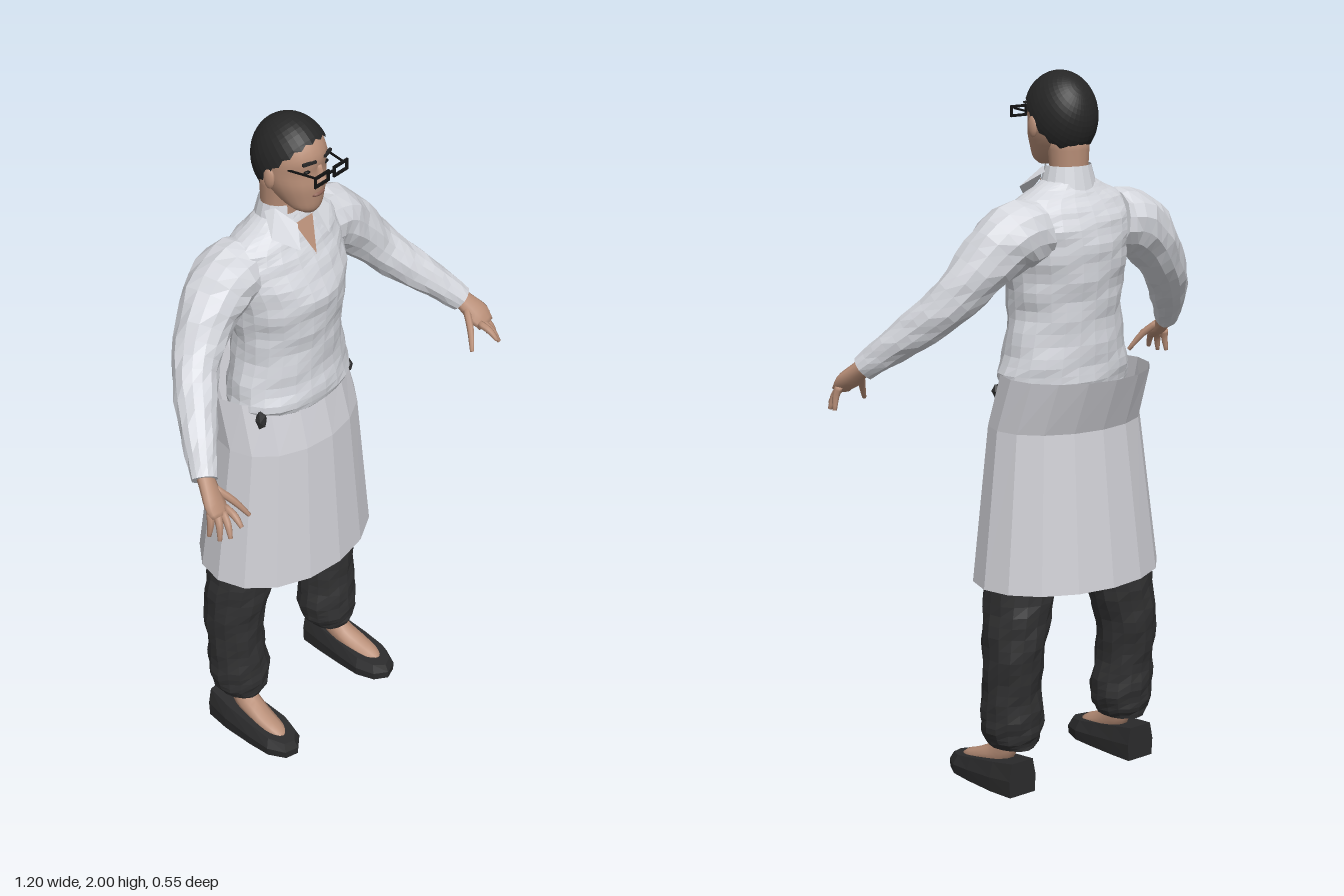
import * as THREE from 'three';

const paint = (name, color, more = {}) => new THREE.MeshStandardMaterial({ name, color, ...more });

// Skin of elliptical rings [x, y, z, radiusA, radiusB], smoothed between rings and capped.
// With tilt, rings stand square to the path; otherwise they stay level (list upward).
function loft(rings, { seg = 14, steps = 3, tilt = false, fold = 0 } = {}) {
  const spline = (f) => new THREE.CatmullRomCurve3(rings.map(f), false, 'catmullrom');
  const centre = spline((r) => new THREE.Vector3(r[0], r[1], r[2]));
  const radius = spline((r) => new THREE.Vector3(r[3], r[4], 0));
  const n = (rings.length - 1) * steps;
  const pos = [], index = [];
  const zAxis = new THREE.Vector3(0, 0, 1);
  for (let i = 0; i <= n; i++) {
    const c = centre.getPoint(i / n), r = radius.getPoint(i / n);
    const t = tilt ? centre.getTangent(i / n) : new THREE.Vector3(0, 1, 0);
    const u = t.clone().cross(zAxis).normalize();
    const w = u.clone().cross(t);
    for (let j = 0; j < seg; j++) {
      const a = (j / seg) * Math.PI * 2;
      const k = 1 + fold * (Math.sin(3 * a + i * 1.9) + Math.sin(5 * a - i * 1.3 + c.x * 9));
      const p = c.clone().addScaledVector(u, r.x * k * Math.cos(a)).addScaledVector(w, r.y * k * Math.sin(a));
      pos.push(p.x, p.y, p.z);
    }
  }
  for (let i = 0; i < n; i++) {
    for (let j = 0; j < seg; j++) {
      const a = i * seg + j, b = i * seg + (j + 1) % seg;
      index.push(a, a + seg, b, a + seg, b + seg, b);
    }
  }
  for (const [end, ring] of [[0, 0], [1, n]]) {
    const c = centre.getPoint(end), id = pos.length / 3;
    pos.push(c.x, c.y, c.z);
    for (let j = 0; j < seg; j++) {
      const a = ring * seg + j, b = ring * seg + (j + 1) % seg;
      if (end) index.push(id, b, a); else index.push(id, a, b);
    }
  }
  const g = new THREE.BufferGeometry();
  g.setAttribute('position', new THREE.Float32BufferAttribute(pos, 3));
  g.setIndex(index);
  g.computeVertexNormals();
  return g;
}

// Thin sheet fanned from its first corner
function sheet(corners) {
  const g = new THREE.BufferGeometry().setFromPoints(corners.map((c) => new THREE.Vector3(...c)));
  const index = [];
  for (let i = 1; i < corners.length - 1; i++) index.push(0, i, i + 1);
  g.setIndex(index);
  g.computeVertexNormals();
  return g;
}

export function createModel() {
  const model = new THREE.Group();
  const flat = { flatShading: true }, sheetSide = { flatShading: true, side: THREE.DoubleSide };
  const skin = paint('skin', 0xb98f78, { side: THREE.DoubleSide });
  const shirt = paint('shirt cloth', 0xd4d6dc, sheetSide);
  const apronCloth = paint('apron cloth', 0xcfcfd5, sheetSide);
  const trousers = paint('trouser cloth', 0x303031, flat);
  const hair = paint('hair', 0x262626, flat);
  const shoeMat = paint('shoe', 0x2b2b2c, flat);
  const frame = paint('glasses frame', 0x121212);
  const lip = paint('lips', 0x8f6457);
  const add = (name, geometry, material, x = 0, y = 0, z = 0) => {
    const m = new THREE.Mesh(geometry, material);
    m.name = name;
    m.position.set(x, y, z);
    model.add(m);
    return m;
  };

  // Shirt body
  add('shirtBody', loft([
    [0, 1.13, -0.055, 0.185, 0.12], [0, 1.17, -0.045, 0.205, 0.138], [0, 1.24, -0.05, 0.19, 0.133],
    [0, 1.34, -0.05, 0.17, 0.133], [0, 1.42, -0.05, 0.175, 0.14], [0, 1.5, -0.052, 0.185, 0.147],
    [0, 1.57, -0.065, 0.2, 0.13], [0, 1.62, -0.07, 0.2, 0.11], [0, 1.66, -0.068, 0.175, 0.088],
    [0, 1.69, -0.066, 0.115, 0.07], [0, 1.715, -0.066, 0.07, 0.06],
  ], { seg: 24, fold: 0.012 }), shirt);

  // Open neck and collar
  add('openNeck', sheet([[0, 1.615, 0.056], [0.036, 1.705, 0.01], [-0.036, 1.705, 0.01]]), skin);
  const collar = add('collar',
    new THREE.CylinderGeometry(0.066, 0.084, 0.065, 14, 1, true, 0.55, Math.PI * 2 - 1.1), shirt, 0, 1.718, -0.066);
  collar.scale.z = 0.88;

  // Apron: wide skirt with a flared back
  const sides = 16, apronRings = [[1.19, -0.1, 0.225, 0.178], [1.04, -0.052, 0.236, 0.168], [0.6, -0.06, 0.29, 0.21]];
  const apron = new THREE.CylinderGeometry(1, 1, 1, sides, 2, true);
  const ap = apron.attributes.position;
  for (let i = 0; i < ap.count; i++) {
    const [y, cz, rx, rz] = apronRings[Math.floor(i / (sides + 1))];
    ap.setXYZ(i, ap.getX(i) * rx, y, cz + ap.getZ(i) * rz);
  }
  apron.computeVertexNormals();
  add('apron', apron, apronCloth);

  // Hips
  add('hips', loft([[0, 0.88, -0.06, 0.17, 0.11], [0, 1.0, -0.06, 0.195, 0.13], [0, 1.13, -0.06, 0.19, 0.115]],
    { seg: 16 }), trousers);

  for (const s of [1, -1]) {
    const side = s > 0 ? 'left' : 'right';
    const flip = (rings) => rings.map(([x, ...rest]) => [x * s, ...rest]);

    // Collar flap
    add(side + 'CollarFlap', sheet(flip([[0.062, 1.748, -0.035], [0.03, 1.705, 0.016], [0.058, 1.65, 0.05],
      [0.115, 1.692, 0.0], [0.075, 1.735, -0.06]])), shirt);

    // Sleeve
    add(side + 'Sleeve', loft(flip([
      [0.13, 1.585, -0.085, 0.09, 0.09], [0.21, 1.572, -0.085, 0.092, 0.092], [0.285, 1.515, -0.075, 0.08, 0.08],
      [0.365, 1.425, -0.045, 0.066, 0.064], [0.43, 1.35, 0.012, 0.058, 0.056],
      [0.49, 1.285, 0.078, 0.047, 0.046], [0.54, 1.225, 0.138, 0.037, 0.034],
    ]), { tilt: true, fold: 0.03 }), shirt);

    // Hand with five fingers
    add(side + 'Palm', loft(flip([[0.53, 1.24, 0.125, 0.026, 0.022], [0.545, 1.212, 0.158, 0.031, 0.02],
      [0.558, 1.182, 0.19, 0.038, 0.018], [0.563, 1.158, 0.213, 0.03, 0.011]]), { seg: 10, tilt: true }), skin);
    const fingers = {
      Thumb: [0.53, 1.205, 0.165, 0.475, 1.118, 0.233], IndexFinger: [0.538, 1.17, 0.208, 0.543, 1.138, 0.268],
      MiddleFinger: [0.553, 1.164, 0.212, 0.572, 1.112, 0.255], RingFinger: [0.57, 1.164, 0.208, 0.588, 1.102, 0.232],
      LittleFinger: [0.582, 1.17, 0.195, 0.594, 1.105, 0.2],
    };
    for (const [name, [x, y, z, x2, y2, z2]] of Object.entries(fingers)) {
      add(side + name, loft(flip([[x, y, z, 0.011, 0.011],
        [(x + x2) / 2, (y + y2) / 2 + 0.006, (z + z2) / 2 + 0.004, 0.01, 0.01], [x2, y2, z2, 0.006, 0.006]]),
      { seg: 7, tilt: true }), skin);
    }

    // Trouser leg, with a little cloth showing through at the apron pocket
    add(side + 'TrouserLeg', loft(flip([
      [0.2, 0.13, -0.065, 0.062, 0.075], [0.2, 0.165, -0.065, 0.084, 0.085], [0.2, 0.22, -0.068, 0.092, 0.088],
      [0.205, 0.3, -0.072, 0.083, 0.084], [0.205, 0.4, -0.08, 0.085, 0.09], [0.19, 0.5, -0.075, 0.095, 0.097],
      [0.17, 0.6, -0.07, 0.103, 0.1], [0.13, 0.8, -0.065, 0.115, 0.115], [0.1, 1.0, -0.06, 0.1, 0.12],
    ]), { seg: 16, fold: 0.022 }), trousers);
    const pocket = add(side + 'PocketCloth', new THREE.IcosahedronGeometry(0.024, 0), trousers,
      s * 0.182, s > 0 ? 1.132 : 1.15, 0.016);
    pocket.scale.set(0.7, s > 0 ? 0.9 : 1.4, 0.7);

    // Foot and ankle
    add(side + 'Foot', loft(flip([
      [0.205, 0.2, -0.06, 0.034, 0.036], [0.207, 0.13, -0.055, 0.033, 0.036], [0.21, 0.09, -0.02, 0.035, 0.036],
      [0.215, 0.066, 0.04, 0.036, 0.026], [0.218, 0.05, 0.095, 0.03, 0.02], [0.22, 0.04, 0.125, 0.015, 0.01],
    ]), { seg: 10, tilt: true }), skin);

    // Slip-on shoe, higher at the heel
    const outline = [[-0.045, -0.135], [0.045, -0.135], [0.058, -0.06], [0.062, 0.04], [0.06, 0.11], [0.035, 0.16],
      [-0.005, 0.172], [-0.042, 0.145], [-0.06, 0.09], [-0.058, 0.02], [-0.052, -0.07]];
    const shape = new THREE.Shape(outline.map(([x, z]) => new THREE.Vector2(x * s, -z)));
    const shoe = new THREE.ExtrudeGeometry(shape, { depth: 1, steps: 2, bevelEnabled: false });
    shoe.rotateX(-Math.PI / 2);
    const sp = shoe.attributes.position;
    for (let i = 0; i < sp.count; i++) {
      const y = sp.getY(i), z = sp.getZ(i);
      const k = y > 0.9 ? 0.82 : y > 0.4 ? 1.04 : 0.97;
      sp.setXYZ(i, sp.getX(i) * k, y * (0.1 - (z + 0.135) * 0.18), z > 0 && y > 0.9 ? z * 0.93 : z);
    }
    shoe.computeVertexNormals();
    add(side + 'Shoe', shoe, shoeMat, s * 0.217, 0, 0);

    // Ear, eyebrow and glasses side
    add(side + 'Ear', new THREE.SphereGeometry(0.03, 10, 8), skin, s * 0.091, 1.855, -0.028).scale.set(0.35, 1, 0.6);
    add(side + 'Eyebrow', new THREE.BoxGeometry(0.04, 0.007, 0.008), hair, s * 0.036, 1.908, 0.06).rotation.y = s * 0.3;
    const rim = new THREE.Shape([[-0.028, -0.016], [0.028, -0.016], [0.028, 0.016], [-0.028, 0.016]]
      .map((p) => new THREE.Vector2(...p)));
    rim.holes.push(new THREE.Path([[-0.022, -0.009], [-0.022, 0.009], [0.022, 0.009], [0.022, -0.009]]
      .map((p) => new THREE.Vector2(...p))));
    add(side + 'GlassesRim', new THREE.ExtrudeGeometry(rim, { depth: 0.006, bevelEnabled: false }), frame, s * 0.037, 1.88, 0.1);
    add(side + 'GlassesArm', new THREE.BoxGeometry(0.004, 0.005, 0.125), frame, s * 0.066, 1.888, 0.041).rotation.y = -s * 0.2;
    add(side + 'Eye', new THREE.SphereGeometry(0.012, 8, 6), frame, s * 0.035, 1.88, 0.052).scale.set(1.1, 0.45, 0.6);
  }
  add('glassesBridge', new THREE.BoxGeometry(0.022, 0.006, 0.005), frame, 0, 1.885, 0.103);

  // Neck and head
  add('neck', loft([[0, 1.64, -0.066, 0.055, 0.055], [0, 1.72, -0.07, 0.053, 0.052], [0, 1.83, -0.065, 0.06, 0.062]]), skin);
  add('head', loft([
    [0, 1.743, 0.025, 0.022, 0.022], [0, 1.76, 0.014, 0.046, 0.044], [0, 1.79, -0.008, 0.064, 0.071],
    [0, 1.83, -0.024, 0.08, 0.09], [0, 1.87, -0.034, 0.086, 0.096], [0, 1.91, -0.033, 0.085, 0.1],
    [0, 1.95, -0.033, 0.07, 0.083], [0, 1.98, -0.033, 0.04, 0.05],
  ], { seg: 20 }), skin);
  add('nose', loft([[0, 1.836, 0.064, 0.018, 0.016], [0, 1.846, 0.068, 0.018, 0.021], [0, 1.865, 0.062, 0.011, 0.018],
    [0, 1.89, 0.056, 0.008, 0.013]], { seg: 8 }), skin);
  add('mouth', new THREE.SphereGeometry(0.024, 10, 6), lip, 0, 1.805, 0.06).scale.set(1, 0.3, 0.4);

  // Short hair: tilted cap over the back of the skull, with an uneven edge
  const cap = new THREE.SphereGeometry(1, 36, 14, 0, Math.PI * 2, 0, Math.PI * 0.535);
  const cp = cap.attributes.position;
  for (let i = 0; i < cp.count; i++) {
    const row = Math.floor(i / 37), col = i % 37 % 36;
    if (row === 14 && col % 2) cp.setY(i, cp.getY(i) + 0.07);
  }
  cap.rotateX(-Math.PI / 4);
  cap.scale(0.095, 0.122, 0.113);
  cap.computeVertexNormals();
  add('hair', cap, hair, 0, 1.878, -0.033);

  return model;
}
